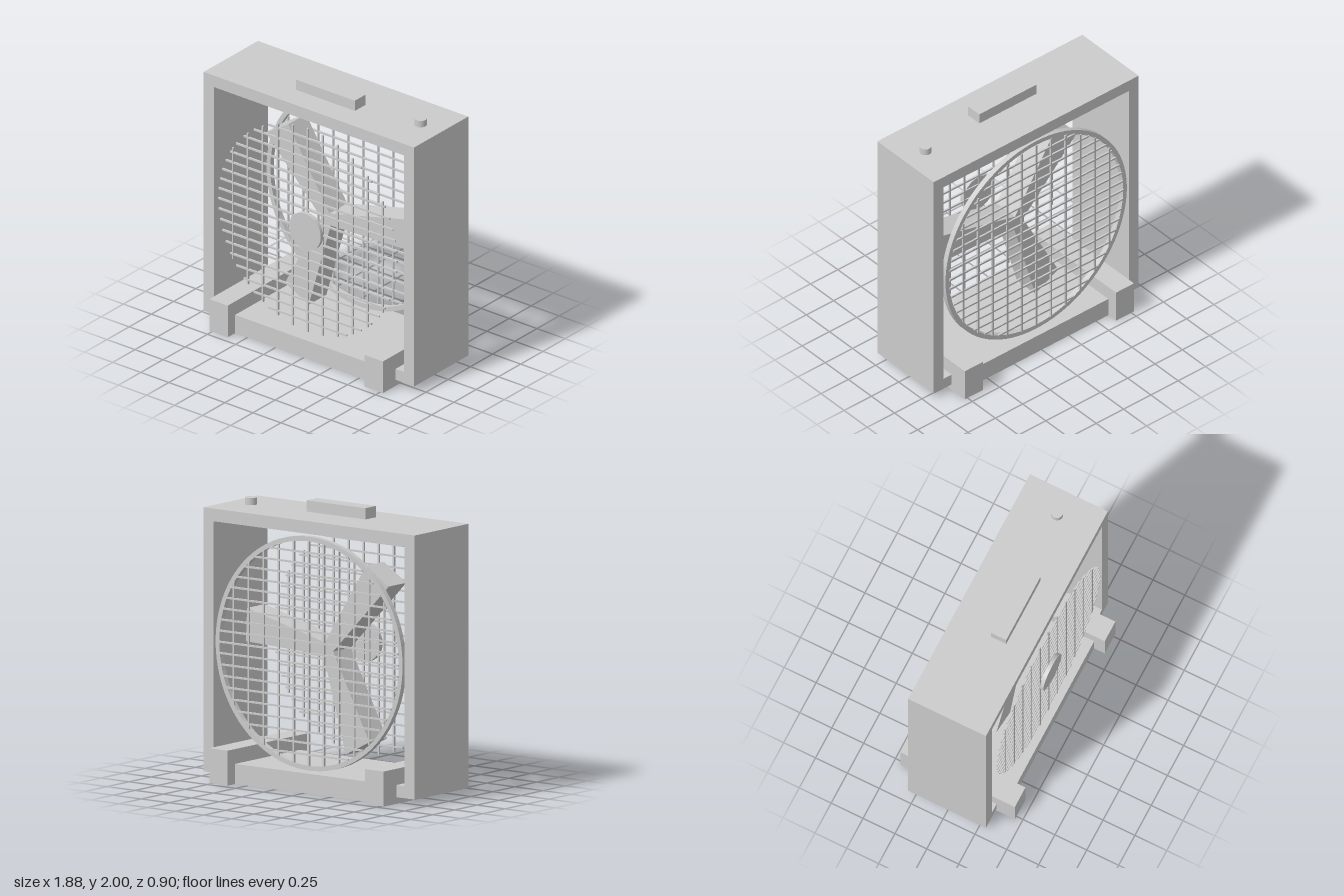
import * as THREE from 'three';

const CY = 0.982; // height of the fan axis
const R = 0.797;  // grille radius

export function createModel() {
  const model = new THREE.Group();
  const mat = new THREE.MeshStandardMaterial({ color: 0xcccccc });

  const add = (name, geo, x, y, z, parent = model) => {
    const m = new THREE.Mesh(geo, mat);
    m.name = name;
    m.position.set(x, y, z);
    parent.add(m);
    return m;
  };
  const box = (name, w, h, d, x, y, z, parent) =>
    add(name, new THREE.BoxGeometry(w, h, d), x, y, z, parent);
  const extrude = (shape, depth) => {
    const g = new THREE.ExtrudeGeometry(shape, { depth, bevelEnabled: false, curveSegments: 48 });
    return g.translate(0, 0, -depth / 2);
  };
  const rect = (T, x0, y0, x1, y1) => new T([
    new THREE.Vector2(x0, y0), new THREE.Vector2(x1, y0),
    new THREE.Vector2(x1, y1), new THREE.Vector2(x0, y1)]);

  // Open rectangular housing
  const housing = rect(THREE.Shape, -0.938, 0.047, 0.938, 1.92);
  housing.holes.push(rect(THREE.Path, -0.848, 0.133, 0.848, 1.83));
  add('housing', extrude(housing, 0.61), 0, 0, 0);

  // Base plate and the two feet running front to back
  box('basePlate', 1.24, 0.143, 0.73, 0, 0.0715, 0);
  for (const s of [-1, 1]) box(s > 0 ? 'leftFoot' : 'rightFoot', 0.164, 0.248, 0.896, s * 0.692, 0.124, 0);

  // Handle and speed knob on top
  box('handle', 0.526, 0.08, 0.12, 0, 1.96, 0.06);
  add('knob', new THREE.CylinderGeometry(0.043, 0.043, 0.05, 32), 0.755, 1.945, 0);

  // Bars clipped to a circle
  const grille = (name, z) => {
    const g = new THREE.Group();
    g.name = name;
    g.position.set(0, CY, z);
    model.add(g);
    const t = 0.013;
    for (let k = -9; k <= 9; k++) {
      const y = k * 0.0796;
      box('horizontalBar', 2 * Math.sqrt(R * R - y * y), t, t, 0, y, 0, g);
    }
    for (let k = -5; k <= 5; k++) {
      const x = k * 0.1335;
      box('verticalBar', t, 2 * Math.sqrt(R * R - x * x), t, x, 0, 0, g);
    }
  };
  grille('frontGrille', 0.316);
  grille('backGrille', -0.306);

  // Rim around the back grille
  const rim = new THREE.Shape().absarc(0, 0, 0.83, 0, Math.PI * 2);
  rim.holes.push(new THREE.Path().absarc(0, 0, 0.796, 0, Math.PI * 2));
  add('backRim', extrude(rim, 0.04), 0, CY, -0.285);

  // Round cap in the middle of the front grille
  const cap = new THREE.CylinderGeometry(0.141, 0.141, 0.03, 48).rotateX(Math.PI / 2);
  add('centreCap', cap, 0, CY, 0.334);

  // Three tapered blades
  const blade = new THREE.Shape([
    new THREE.Vector2(0, -0.043), new THREE.Vector2(0.712, -0.117),
    new THREE.Vector2(0.735, 0.119), new THREE.Vector2(0, 0.043)]);
  const bladeGeo = extrude(blade, 0.2);
  for (let i = 0; i < 3; i++) {
    add('blade', bladeGeo, 0, CY, 0).rotation.z = THREE.MathUtils.degToRad(8 + i * 120);
  }

  return model;
}
